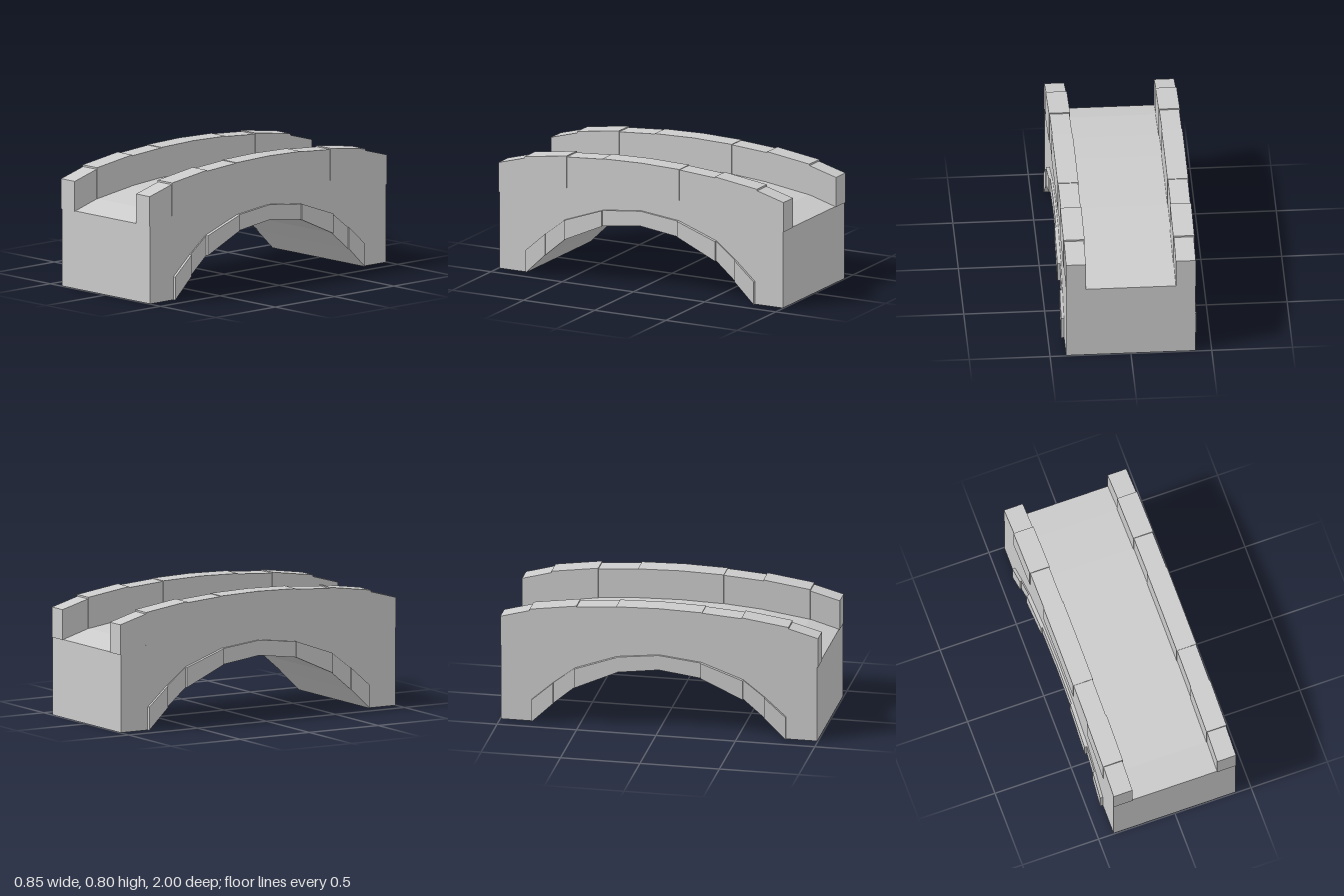
import * as THREE from 'three';

const material = new THREE.MeshStandardMaterial({ color: 0xcccccc, flatShading: true });

// Curves as [z, y] from one end of the half span to the crown
const intrados = [[0.8, 0], [0.665, 0.13], [0.53, 0.245], [0.265, 0.365], [0, 0.4]];
const extrados = [[0.8, 0.145], [0.665, 0.265], [0.53, 0.37], [0.265, 0.465], [0, 0.495]];
const deck = [[0.995, 0.488], [0.81, 0.542], [0.525, 0.583], [0.27, 0.603], [0, 0.61]];

// Mirror a half curve to the full span, running from +z to -z
const fullSpan = (half) => [...half, ...half.slice(0, -1).reverse().map(([z, y]) => [-z, y])];

// Extrude a z-y outline across x from x0 to x1
function slab(name, outline, x0, x1) {
  const shape = new THREE.Shape(outline.map(([z, y]) => new THREE.Vector2(z, y)));
  const geometry = new THREE.ExtrudeGeometry(shape, { depth: x1 - x0, bevelEnabled: false });
  geometry.rotateY(-Math.PI / 2).translate(x1, 0, 0);
  const mesh = new THREE.Mesh(geometry, material);
  mesh.name = name;
  return mesh;
}

export function createModel() {
  const bridge = new THREE.Group();
  bridge.name = 'archedBridge';

  // Solid body: curved deck above, faceted arch below
  const body = [...fullSpan(deck), [-0.995, 0], ...fullSpan(intrados).reverse(), [0.995, 0]];
  bridge.add(slab('body', body, -0.4, 0.4));

  // Parapet stones: [z outer, z inner, top outer, top inner, base outer, base inner, swell]
  const stones = [
    [1, 0.81, 0.675, 0.728, 0.486, 0.535, 0.001],
    [0.815, 0.52, 0.737, 0.779, 0.53, 0.575, 0.005],
    [0.525, 0.265, 0.771, 0.79, 0.57, 0.595, 0.001],
    [0.27, 0, 0.793, 0.8, 0.595, 0.603, 0.004],
  ];
  // Arch ring stones: how far each stands out past the wall
  const proud = [0.018, 0.008, 0.023, 0.014];

  for (const side of [1, -1]) {
    const parapet = new THREE.Group();
    parapet.name = side > 0 ? 'leftParapet' : 'rightParapet';
    const ring = new THREE.Group();
    ring.name = side > 0 ? 'leftArchRing' : 'rightArchRing';

    const place = (group, name, outline, inner, outer) =>
      group.add(slab(name, outline, Math.min(side * inner, side * outer), Math.max(side * inner, side * outer)));

    for (const end of [1, -1]) {
      const at = (points) => points.map(([z, y]) => [z * end, y]);
      for (const [z0, z1, t0, t1, b0, b1, swell] of stones) {
        place(parapet, 'parapetStone', at([[z0, b0], [z0, t0], [z1, t1], [z1, b1]]), 0.279 - swell, 0.4 + swell);
      }
      proud.forEach((p, i) => {
        const outline = [intrados[i], extrados[i], extrados[i + 1], intrados[i + 1]];
        place(ring, 'archStone', at(outline), 0.395, 0.4 + p);
      });
    }
    bridge.add(parapet, ring);
  }
  return bridge;
}
